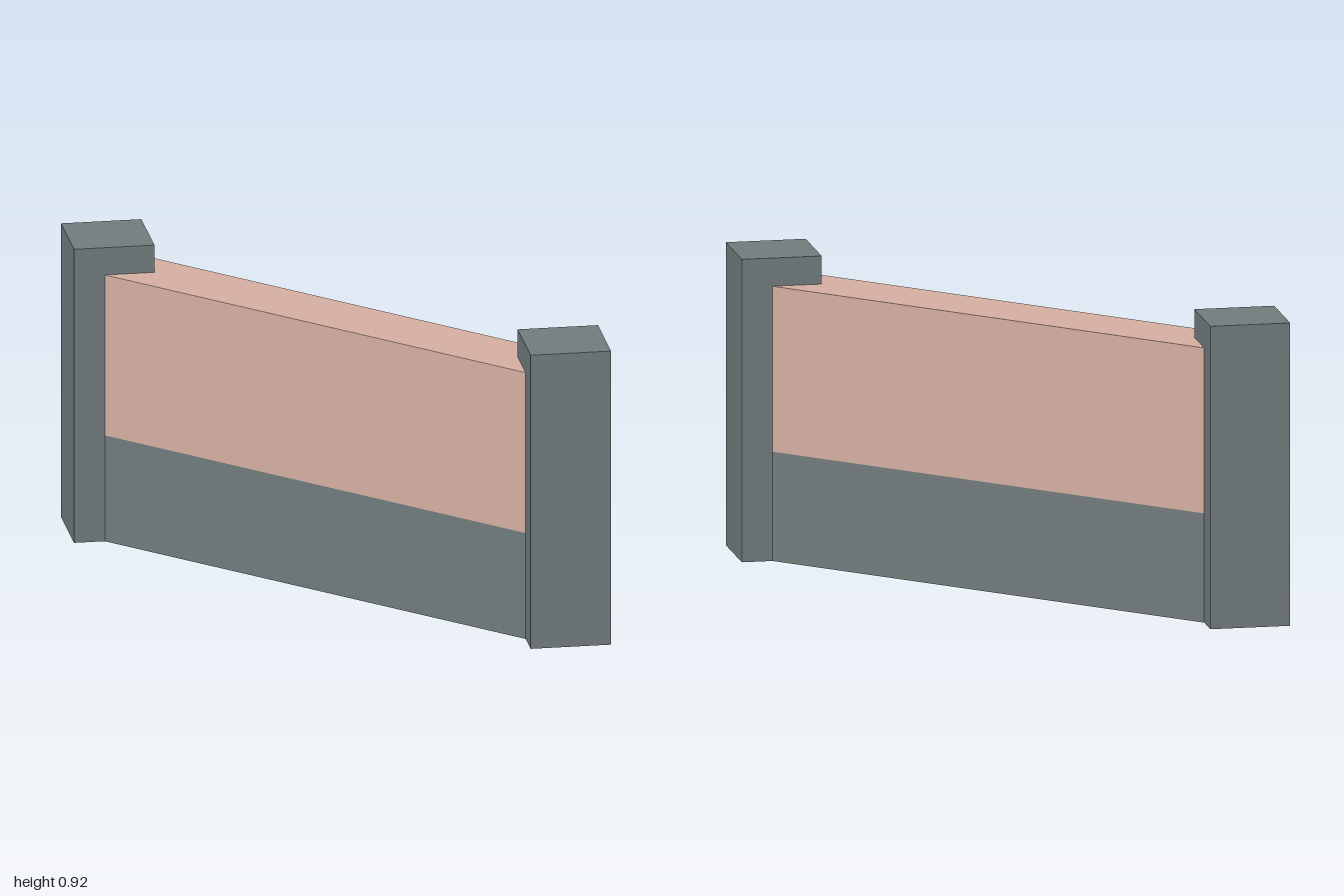
import * as THREE from 'three';

const HEIGHT = 0.915, POST_Z = 0.83, POST_RADIUS = 0.17;
const WALL_WIDTH = 0.21, WALL_TOP = 0.83, BASE_TOP = 0.33;

export function createModel() {
  const stone = new THREE.MeshStandardMaterial({ color: 0x727c7d });
  stone.name = 'grey stone';
  const plaster = new THREE.MeshStandardMaterial({ color: 0xd6b0a2 });
  plaster.name = 'pink plaster';
  const group = new THREE.Group();
  group.name = 'wallSection';

  // Box spanning a height range
  const block = (name, width, depth, bottom, top, material) => {
    const mesh = new THREE.Mesh(new THREE.BoxGeometry(width, top - bottom, depth), material);
    mesh.name = name;
    mesh.position.y = (bottom + top) / 2;
    group.add(mesh);
    return mesh;
  };

  // Two-tone wall running between the post centres
  block('wallBase', WALL_WIDTH, POST_Z * 2, 0, BASE_TOP, stone);
  block('wallUpper', WALL_WIDTH, POST_Z * 2, BASE_TOP, WALL_TOP, plaster);

  // Square end posts, turned corner-on
  const side = POST_RADIUS * Math.SQRT2;
  for (const [name, sign] of [['frontPost', 1], ['backPost', -1]]) {
    const post = block(name, side, side, 0, HEIGHT, stone);
    post.position.z = sign * POST_Z;
    post.rotation.y = Math.PI / 4;
  }
  return group;
}
